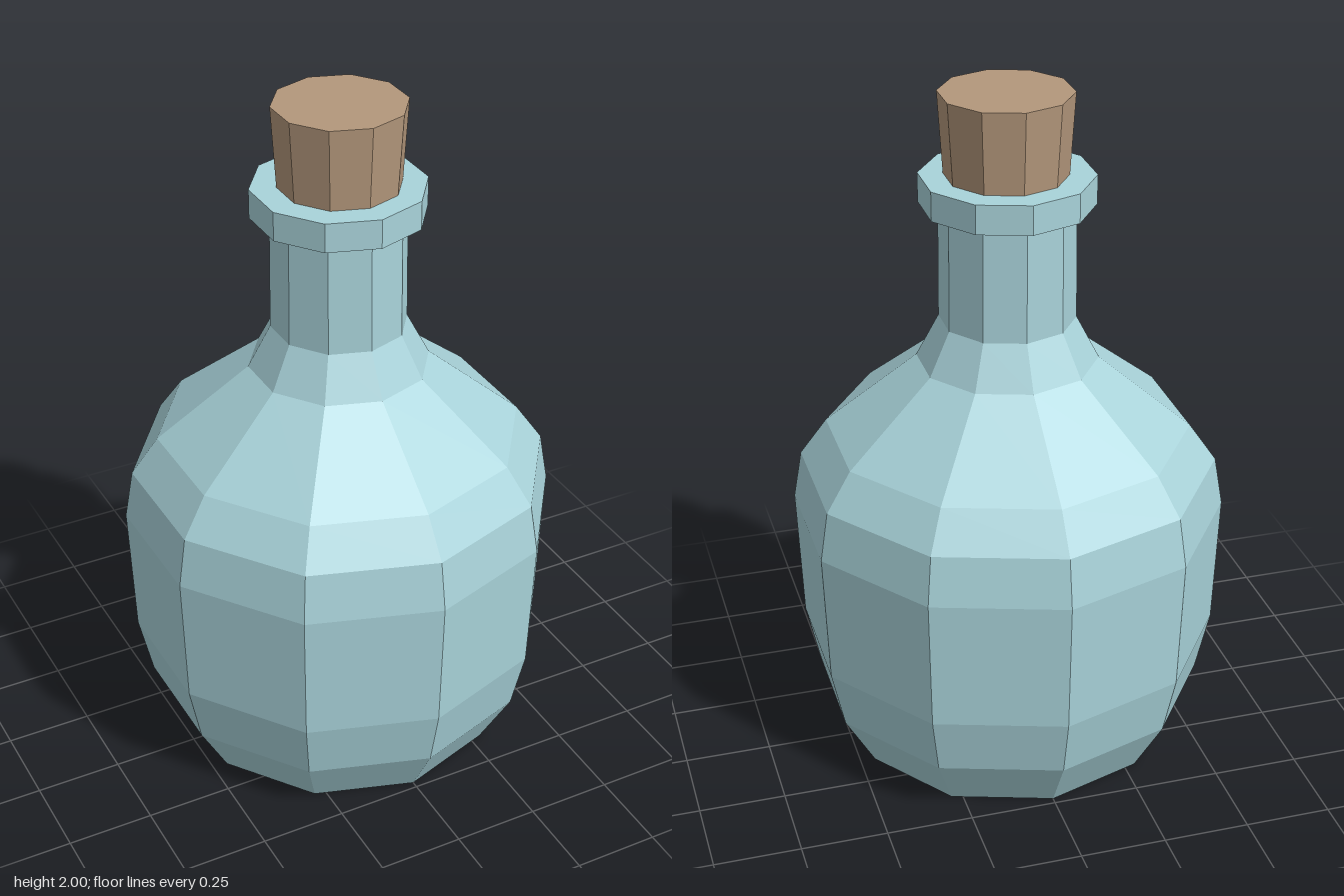
import * as THREE from 'three';

const SIDES = 10;

// Faceted part turned from a radius/height profile, listed bottom to top
function turned(name, profile, color) {
  const points = profile.map(([r, y]) => new THREE.Vector2(r, y));
  const material = new THREE.MeshStandardMaterial({ color, flatShading: true });
  const mesh = new THREE.Mesh(new THREE.LatheGeometry(points, SIDES), material);
  mesh.name = name;
  return mesh;
}

export function createModel() {
  const group = new THREE.Group();
  group.name = 'corkedBottle';
  const glass = 0xa9d3da;

  // Rounded belly, sloping shoulder and straight neck
  group.add(turned('bottleBody', [
    [0, 0], [0.48, 0], [0.575, 0.17], [0.615, 0.35], [0.63, 0.745], [0.605, 0.89],
    [0.527, 1.0], [0.26, 1.215], [0.195, 1.34], [0.192, 1.68],
  ], glass));

  // Flat collar around the mouth
  group.add(turned('mouthRim', [
    [0, 1.68], [0.247, 1.68], [0.247, 1.765], [0, 1.765],
  ], glass));

  // Tapered stopper
  const cork = turned('cork', [
    [0, 1.74], [0.172, 1.74], [0.188, 2], [0, 2],
  ], 0xb3977b);
  cork.position.x = 0.003;
  group.add(cork);

  return group;
}
